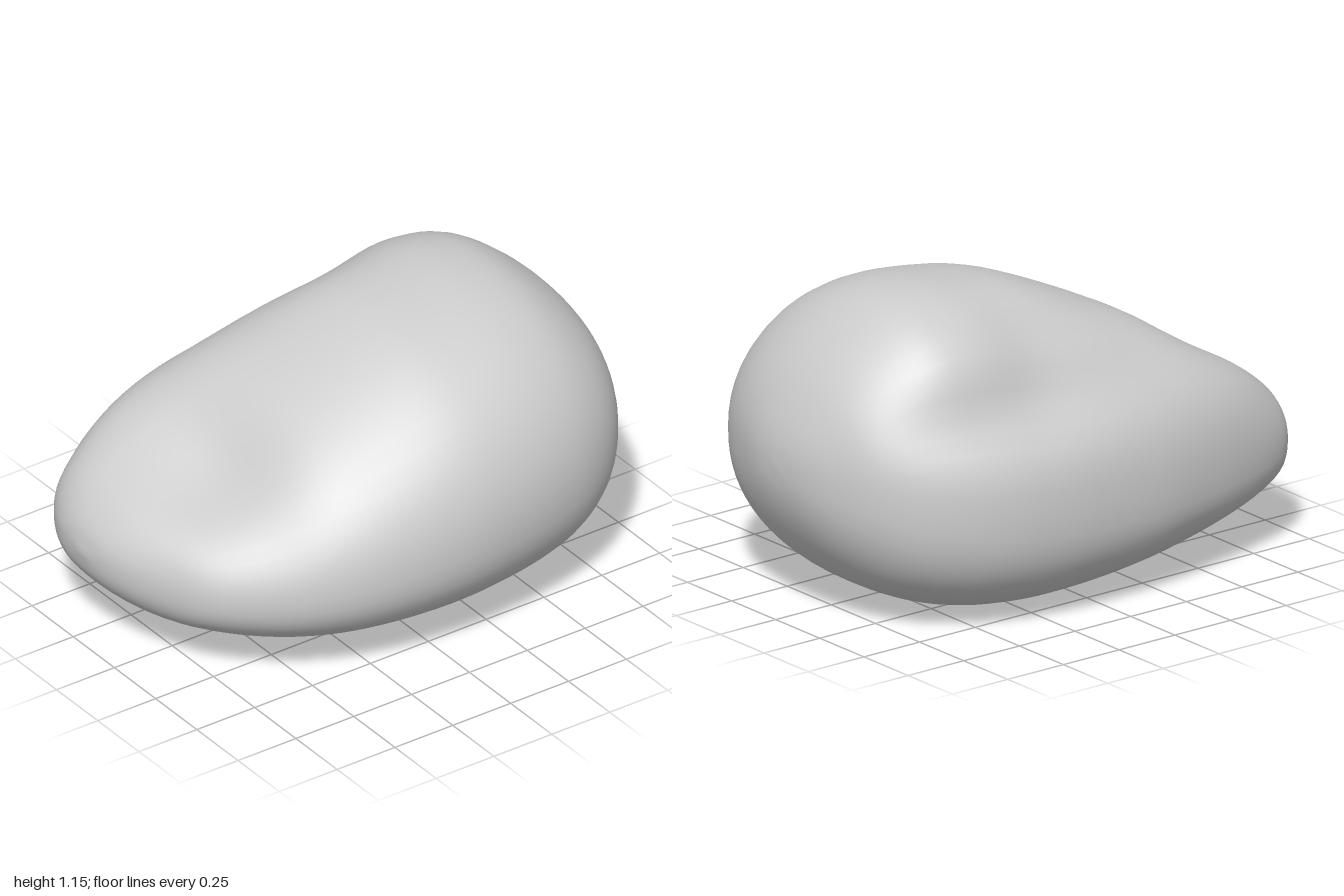
import * as THREE from 'three';
import { mergeVertices } from 'three/addons/utils/BufferGeometryUtils.js';

// Cross-sections along x:
// x, top y, bottom y, back z, front z, z of top, z of bottom, y of back, y of front
const SECTIONS = [
  [-0.975, 0.465, 0.28, -0.375, -0.05, -0.23, -0.21, 0.38, 0.37],
  [-0.9, 0.56, 0.20, -0.5, 0.16, -0.27, -0.18, 0.38, 0.36],
  [-0.8, 0.635, 0.15, -0.56, 0.34, -0.27, -0.15, 0.38, 0.36],
  [-0.6, 0.76, 0.09, -0.625, 0.515, -0.25, -0.12, 0.38, 0.37],
  [-0.4, 0.905, 0.05, -0.67, 0.625, -0.18, -0.12, 0.39, 0.40],
  [-0.2, 1.00, 0.025, -0.705, 0.685, -0.12, -0.13, 0.39, 0.43],
  [0.05, 1.10, 0.005, -0.72, 0.718, -0.08, -0.14, 0.40, 0.47],
  [0.25, 1.135, 0, -0.715, 0.713, -0.06, -0.14, 0.41, 0.50],
  [0.45, 1.15, 0.015, -0.685, 0.685, -0.06, -0.13, 0.43, 0.52],
  [0.62, 1.12, 0.055, -0.625, 0.635, -0.06, -0.11, 0.45, 0.53],
  [0.77, 1.02, 0.13, -0.53, 0.545, -0.04, -0.08, 0.48, 0.55],
  [0.88, 0.90, 0.24, -0.41, 0.415, -0.02, -0.04, 0.52, 0.56],
  [0.955, 0.765, 0.37, -0.255, 0.24, 0, -0.02, 0.55, 0.57],
  [0.99, 0.66, 0.48, -0.12, 0.11, 0, 0, 0.57, 0.57],
];
const LEFT_TIP = new THREE.Vector3(-1, 0.375, -0.21);
const RIGHT_TIP = new THREE.Vector3(1, 0.57, 0);

// Shallow hollows and swellings: centre, radii per axis, push
const RELIEF = [
  { at: [0.3, 0.81, -0.57], r: [0.48, 0.14, 0.2], push: [-0.01, -0.03, 0.07] },
  { at: [0.15, 0.96, -0.42], r: [0.24, 0.18, 0.17], push: [0, -0.03, 0.03] },
  { at: [-0.6, 0.71, 0.04], r: [0.26, 0.24, 0.24], push: [0.015, -0.05, 0] },
  { at: [-0.62, 0.64, -0.46], r: [0.3, 0.2, 0.22], push: [-0.01, 0.03, -0.03] },
];

// Four quarter superellipses joined at the extremes of the section
function sectionPoint([x, yt, yb, zk, zf, zt, zb, yk, yf], angle) {
  const c = Math.cos(angle), s = Math.sin(angle);
  const power = 2 / (s >= 0 ? (c >= 0 ? 2.07 : 2.15) : c >= 0 ? 2.3 : 2.5);
  const ySide = c >= 0 ? yf : yk, zMid = s >= 0 ? zt : zb;
  const z = zMid + ((c >= 0 ? zf : zk) - zMid) * Math.abs(c) ** power;
  const y = ySide + ((s >= 0 ? yt : yb) - ySide) * Math.abs(s) ** power;
  return new THREE.Vector3(x, y, z);
}

function addRelief(p) {
  for (const { at, r, push } of RELIEF) {
    const d = ((p.x - at[0]) / r[0]) ** 2 + ((p.y - at[1]) / r[1]) ** 2 + ((p.z - at[2]) / r[2]) ** 2;
    p.addScaledVector(new THREE.Vector3(...push), Math.exp(-d));
  }
  return p;
}

function stoneGeometry(around = 56, along = 64) {
  const positions = [], index = [];
  // One smooth meridian from tip to tip for every angle
  for (let j = 0; j < around; j++) {
    const angle = (j / around) * Math.PI * 2;
    const curve = new THREE.CatmullRomCurve3([
      LEFT_TIP, ...SECTIONS.map((s) => sectionPoint(s, angle)), RIGHT_TIP,
    ]);
    for (let i = 0; i <= along; i++) {
      const p = addRelief(curve.getPoint(i / along));
      positions.push(p.x, p.y, p.z);
    }
  }
  const id = (i, j) => (j % around) * (along + 1) + i;
  for (let j = 0; j < around; j++) {
    for (let i = 0; i < along; i++) {
      const a = id(i, j), b = id(i + 1, j), c = id(i + 1, j + 1), d = id(i, j + 1);
      if (i < along - 1) index.push(a, b, c);
      if (i > 0) index.push(a, c, d);
    }
  }
  const geometry = new THREE.BufferGeometry();
  geometry.setAttribute('position', new THREE.Float32BufferAttribute(positions, 3));
  geometry.setIndex(index);
  const merged = mergeVertices(geometry, 1e-5);
  merged.computeVertexNormals();
  return merged;
}

export function createModel() {
  const group = new THREE.Group();
  const stone = new THREE.Mesh(stoneGeometry(), new THREE.MeshStandardMaterial({ color: 0xcccccc }));
  stone.name = 'stone';
  group.add(stone);
  return group;
}
